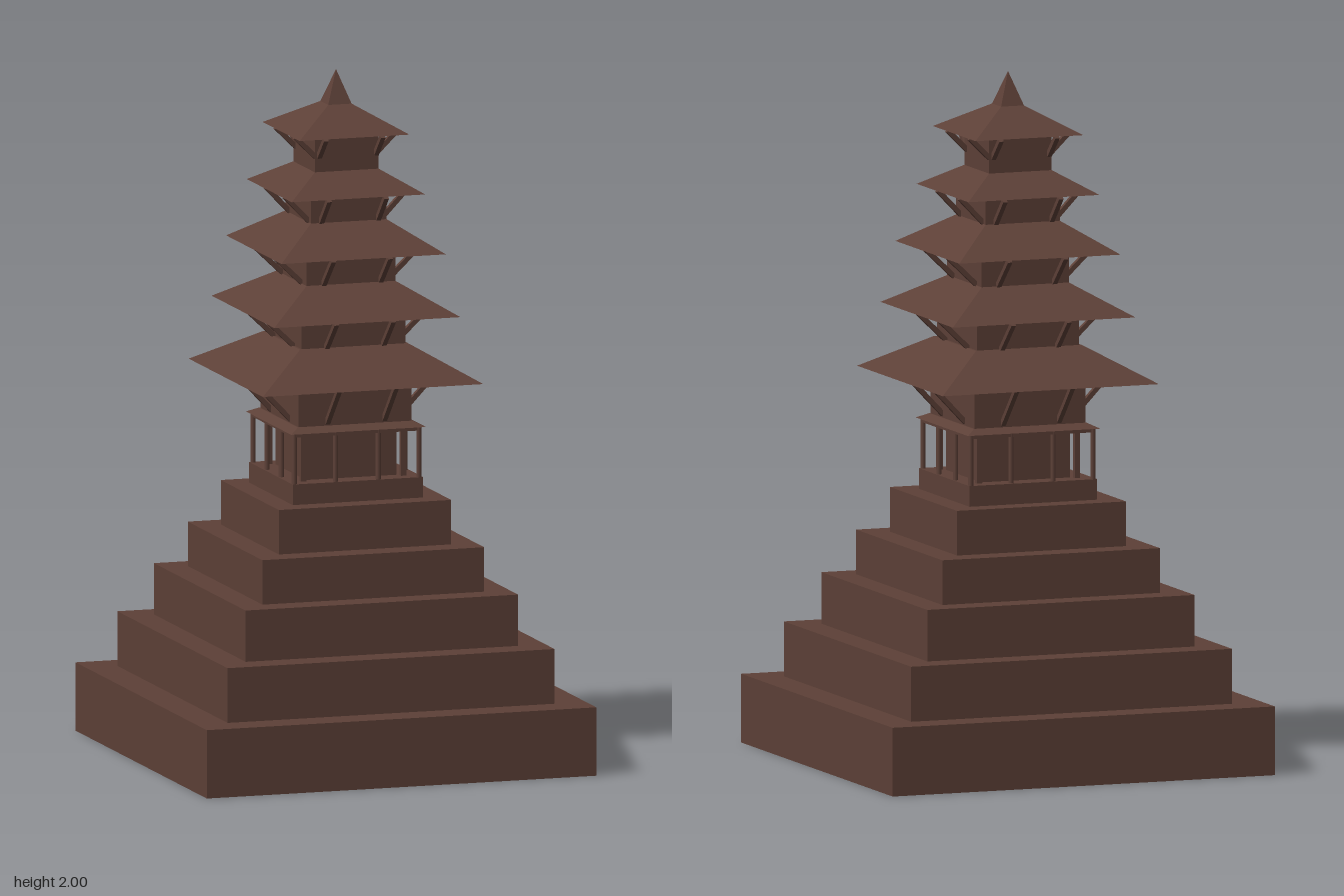
import * as THREE from 'three';

const wood = new THREE.MeshStandardMaterial({ color: 0x5d4037, side: THREE.DoubleSide });
wood.name = 'brown wood';

function add(parent, name, geometry, x = 0, y = 0, z = 0) {
  const mesh = new THREE.Mesh(geometry, wood);
  mesh.name = name;
  mesh.position.set(x, y, z);
  parent.add(mesh);
  return mesh;
}

// Square block from y0 to y1 with half width h
function block(parent, name, h, y0, y1) {
  return add(parent, name, new THREE.BoxGeometry(2 * h, y1 - y0, 2 * h), 0, (y0 + y1) / 2, 0);
}

// Square frustum with flat faces
function frustum(parent, name, hBottom, hTop, y0, y1) {
  const g = new THREE.CylinderGeometry(hTop * Math.SQRT2, hBottom * Math.SQRT2, y1 - y0, 4)
    .rotateY(Math.PI / 4).toNonIndexed();
  g.computeVertexNormals();
  return add(parent, name, g, 0, (y0 + y1) / 2, 0);
}

// Square beam between two points
function beam(parent, name, a, b, width) {
  const dir = b.clone().sub(a);
  const mesh = add(parent, name, new THREE.BoxGeometry(width, dir.length(), width));
  mesh.position.copy(a).add(b).multiplyScalar(0.5);
  mesh.quaternion.setFromUnitVectors(new THREE.Vector3(0, 1, 0), dir.normalize());
}

// Call build once for each of the four sides, facing +z in its own group
function fourSides(parent, name, build) {
  for (let i = 0; i < 4; i++) {
    const side = new THREE.Group();
    side.name = name;
    side.rotation.y = i * Math.PI / 2;
    build(side);
    parent.add(side);
  }
}

export function createModel() {
  const model = new THREE.Group();
  model.name = 'pagoda';

  // Stepped terrace; the lowest step is hollow and open underneath
  const steps = [
    [0.592, 0, 0.2], [0.497, 0.2, 0.36], [0.414, 0.36, 0.51],
    [0.337, 0.51, 0.64], [0.262, 0.64, 0.77], [0.198, 0.77, 0.83],
  ];
  steps.forEach(([h, y0, y1], i) => {
    const step = block(model, 'terraceStep', h, y0, y1);
    if (i === 0) {
      const index = Array.from(step.geometry.index.array);
      index.splice(18, 6); // bottom face
      step.geometry.setIndex(index);
    }
  });

  // Ground floor hall with a colonnade and a thin canopy
  block(model, 'hall', 0.138, 0.83, 0.99);
  frustum(model, 'canopy', 0.205, 0.175, 0.977, 0.992);
  fourSides(model, 'colonnade', side => {
    for (const x of [-0.19, -0.065, 0.065]) {
      add(side, 'column', new THREE.CylinderGeometry(0.008, 0.008, 0.15, 8), x, 0.905, 0.188);
    }
    add(side, 'cornerPost', new THREE.BoxGeometry(0.016, 0.15, 0.016), 0.152, 0.905, 0.152);
    add(side, 'lintel', new THREE.BoxGeometry(0.38, 0.012, 0.014), 0, 0.972, 0.188);
  });

  // Storeys: body half width, floor, eave height, eave half, roof top, roof top half,
  // strut foot [out, y], strut head [out, y]
  const tiers = [
    [0.172, 0.99, 1.117, 0.335, 1.217, 0.165, [0.168, 1.0], [0.275, 1.113]],
    [0.158, 1.21, 1.307, 0.283, 1.4, 0.13, [0.158, 1.215], [0.25, 1.303]],
    [0.135, 1.395, 1.487, 0.25, 1.575, 0.115, [0.135, 1.4], [0.222, 1.483]],
    [0.115, 1.57, 1.657, 0.203, 1.725, 0.09, [0.11, 1.575], [0.185, 1.653]],
    [0.097, 1.72, 1.828, 0.167, 1.905, 0.034, [0.093, 1.765], [0.155, 1.826]],
  ];
  for (const [h, y0, eaveY, eave, topY, top, foot, head] of tiers) {
    const tier = new THREE.Group();
    tier.name = 'storey';
    block(tier, 'storeyWall', h, y0, eaveY + 0.005);
    frustum(tier, 'roof', eave, top, eaveY, topY);
    fourSides(tier, 'eaveStruts', side => {
      for (const x of [-0.083, 0.09]) {
        beam(side, 'strut', new THREE.Vector3(x, foot[1], foot[0]),
          new THREE.Vector3(x, head[1], head[0]), 0.014);
      }
    });
    model.add(tier);
  }

  // Finial
  frustum(model, 'finial', 0.037, 0.0005, 1.9, 2.0);
  return model;
}
